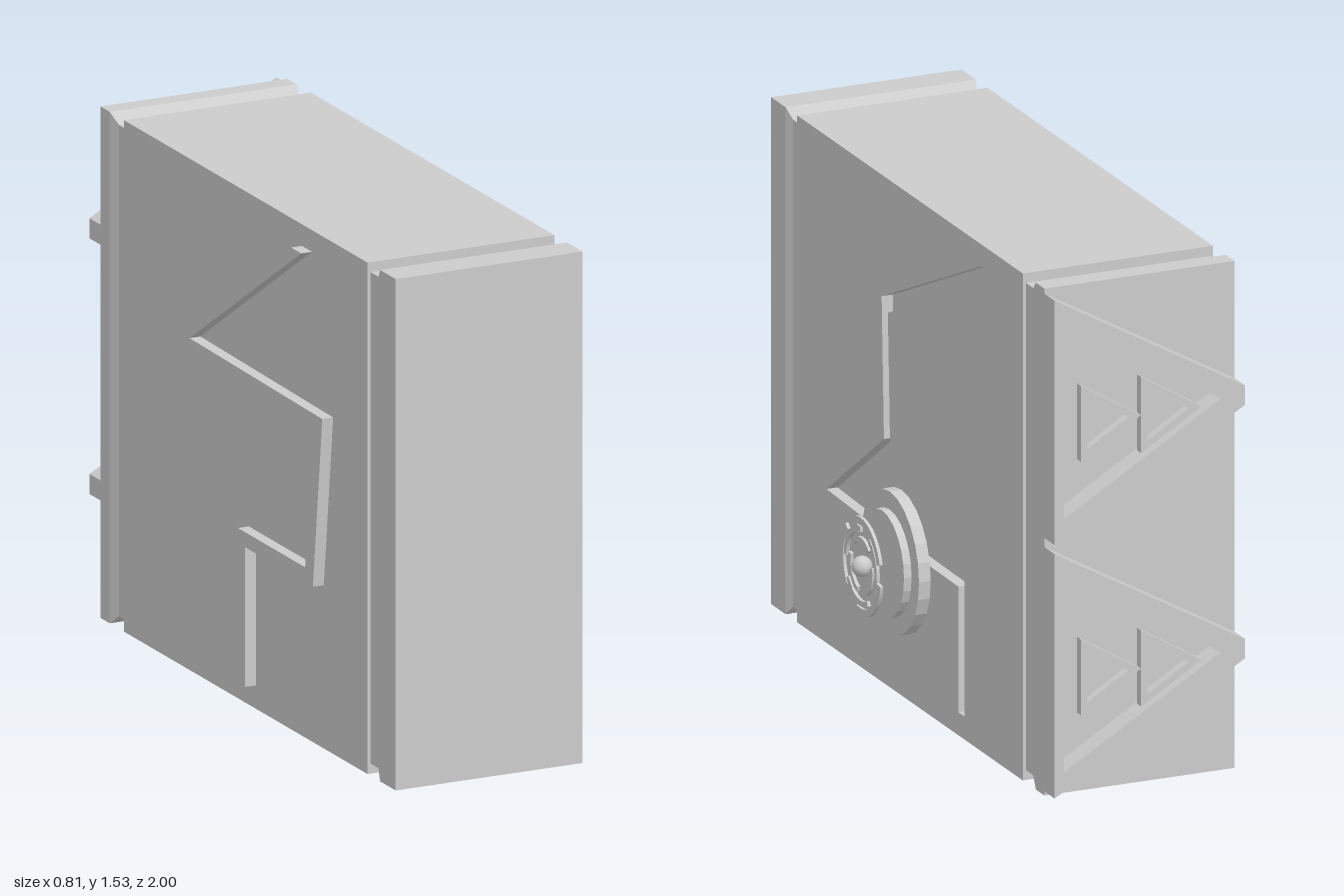
import * as THREE from 'three';

const X0 = -0.375, X1 = 0.225, H = 1.535;

export function createModel() {
  const model = new THREE.Group();
  const grey = new THREE.MeshStandardMaterial({ color: 0xcccccc });
  grey.name = 'light grey';

  const add = (name, geometry, parent = model) => {
    const mesh = new THREE.Mesh(geometry, grey);
    mesh.name = name;
    parent.add(mesh);
    return mesh;
  };
  const toShape = pts => new THREE.Shape(pts.map(p => new THREE.Vector2(...p)));
  const toPath = pts => new THREE.Path(pts.map(p => new THREE.Vector2(...p)));
  const extrude = (shape, depth, curveSegments = 12) =>
    new THREE.ExtrudeGeometry(shape, { depth, bevelEnabled: false, curveSegments });
  // Turns a (-z, y) profile extrusion so that its depth runs along +x
  const sideways = (shape, depth, x) => extrude(shape, depth).rotateY(Math.PI / 2).translate(x, 0, 0);

  // Stacked rectangles along z, each [z, inset in x, inset in y], from back to front
  const loft = sections => {
    const rings = sections.map(([z, ix, iy]) => [
      [X0 + ix, iy, z], [X1 - ix, iy, z], [X1 - ix, H - iy, z], [X0 + ix, H - iy, z]]);
    const pos = [];
    const quad = (a, b, c, d) => pos.push(...a, ...b, ...c, ...a, ...c, ...d);
    for (let i = 0; i + 1 < rings.length; i++)
      for (let k = 0; k < 4; k++) {
        const n = (k + 1) % 4;
        quad(rings[i][k], rings[i][n], rings[i + 1][n], rings[i + 1][k]);
      }
    const [a, b, c, d] = rings[0];
    quad(d, c, b, a);
    quad(...rings[rings.length - 1]);
    const g = new THREE.BufferGeometry();
    g.setAttribute('position', new THREE.Float32BufferAttribute(pos, 3));
    g.computeVertexNormals();
    return g;
  };

  // Front and back slabs with chamfered necks
  add('frontSlab', loft([[0.815, 0.01, 0.03], [0.87, 0.01, 0.03], [0.9, 0, 0], [1, 0, 0]]));
  add('backSlab', loft([[-0.89, 0, 0], [-0.83, 0, 0], [-0.79, 0.01, 0.03], [-0.735, 0.01, 0.03]]));

  // Main block, with an engraved zigzag channel in its +x face
  const depth = 0.035, zb = -0.74, zf = 0.82;
  const core = X1 - depth - X0;
  add('mainBlock', new THREE.BoxGeometry(core, H, zf - zb)
    .translate(X0 + core / 2, H / 2, (zf + zb) / 2));
  const face = toShape([[-zf, 0], [-zb, 0], [-zb, H], [-zf, H]]);
  face.holes.push(toPath([
    [-0.617, 0.466], [-0.257, 0.455], [0.295, 0.45], [0.295, 0.07], [0.338, 0.07], [0.338, 0.498],
    [-0.247, 0.503], [-0.46, 0.514], [-0.177, 0.712], [-0.193, 1.13], [0.57, 1.47], [0.455, 1.47],
    [-0.236, 1.167], [-0.22, 0.739]]));
  add('engravedFace', sideways(face, depth, X1 - depth));

  // Raised zigzag rib on the -x face
  add('raisedRib', sideways(toShape([
    [0.4, 0.97], [-0.4, 1.47], [-0.465, 1.47], [0.25, 1.02], [-0.6, 1.01], [-0.54, 0.49],
    [-0.105, 0.49], [-0.105, 0.07], [-0.06, 0.07], [-0.06, 0.535], [-0.49, 0.535], [-0.55, 0.97],
  ].reverse()), 0.035, X0 - 0.035));

  // Dial on the +x side: slightly oval stepped discs, a broken ring wheel and a hub ball
  const dial = new THREE.Group();
  dial.name = 'dial';
  dial.position.set(0, 0.425, 0.055);
  dial.scale.z = 0.945;
  model.add(dial);
  const disc = (name, r, x0, x1) => add(name,
    new THREE.CylinderGeometry(r, r, x1 - x0, 24).toNonIndexed()
      .rotateZ(-Math.PI / 2).translate((x0 + x1) / 2, 0, 0), dial).geometry.computeVertexNormals();
  disc('dialBase', 0.214, 0.245, 0.282);
  disc('dialStep', 0.16, 0.282, 0.306);

  const arc = (name, r0, r1, start, sweep) => {
    const s = new THREE.Shape();
    s.absarc(0, 0, r1, start, start + sweep, false);
    s.absarc(0, 0, r0, start + sweep, start, true);
    add(name, sideways(s, 0.01, 0.365), dial);
  };
  for (let i = 0; i < 3; i++) {
    const a = i * Math.PI * 2 / 3 + 0.3;
    arc('outerRingArc', 0.126, 0.148, a, 1.65);
    arc('ringLink', 0.1, 0.127, a + 1.45, 0.2);
    arc('middleRingArc', 0.103, 0.12, a + 1.3, 1.5);
    arc('innerRingArc', 0.072, 0.088, a + 0.5, 1.5);
  }
  add('hubBall', new THREE.SphereGeometry(0.031, 16, 12).translate(0.37, 0, 0), dial);

  // Two triangular frames on the back, each with a pair of small arrow frames
  const arrow = (x, y) => {
    const s = toShape([[x, y - 0.115], [x, y + 0.115], [x - 0.19, y]].reverse());
    s.holes.push(toPath([[x - 0.02, y - 0.079], [x - 0.02, y + 0.079], [x - 0.15, y]]));
    return extrude(s, 0.028).translate(0, 0, -1);
  };
  for (const y of [0.3825, 1.15]) {
    const frame = toShape([
      [X0, y - 0.03], [X1, y - 0.37], [X1, y + 0.37], [X0, y + 0.03]]);
    frame.holes.push(toPath([[X1 - 0.03, y - 0.295], [X1 - 0.03, y + 0.295], [X0 + 0.075, y]]));
    add('backTriangleFrame', extrude(frame, 0.072).translate(0, 0, -0.96));
    add('outerArrow', arrow(0.16, y));
    add('innerArrow', arrow(-0.03, y));
  }
  return model;
}
